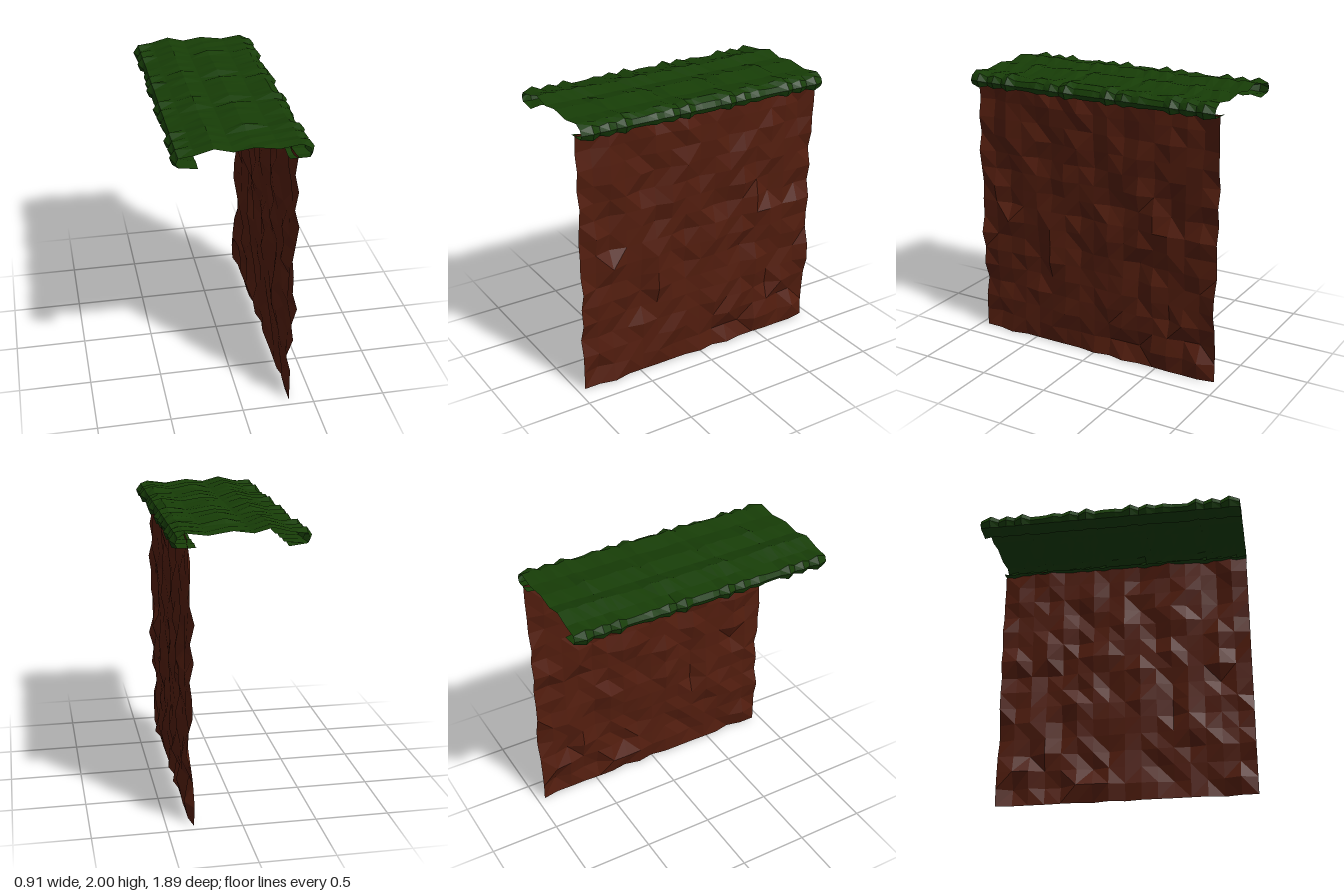
import * as THREE from 'three';

// Small seeded hash giving 0..1 for a pair of integers
function hash(a, b) {
  let h = Math.imul(a + 17, 374761393) ^ Math.imul(b + 59, 668265263);
  h = Math.imul(h ^ (h >>> 13), 1274126177);
  return ((h ^ (h >>> 16)) >>> 0) / 4294967296;
}

function makeMesh(name, geometry, color) {
  const flat = geometry.toNonIndexed();
  flat.computeVertexNormals();
  const material = new THREE.MeshStandardMaterial({ color, flatShading: true, side: THREE.DoubleSide });
  const mesh = new THREE.Mesh(flat, material);
  mesh.name = name;
  return mesh;
}

// Rough earth sheet: mostly even, with scattered bumps and dents
function createWall() {
  const columns = 16, rows = 15, size = 1.89;
  const geometry = new THREE.PlaneGeometry(size, size, columns, rows);
  geometry.rotateY(Math.PI / 2);
  const pos = geometry.attributes.position;
  for (let i = 0; i < pos.count; i++) {
    const column = i % (columns + 1), row = Math.floor(i / (columns + 1));
    const noise = 2 * hash(column, row) - 1;
    const push = THREE.MathUtils.clamp(1.35 * noise ** 3, -1, 1);
    pos.setX(i, 0.336 + 0.031 * push);
    pos.setY(i, pos.getY(i) + size / 2);
  }
  // Turn the diagonal of about half the cells
  const indices = [];
  for (let row = 0; row < rows; row++) {
    for (let column = 0; column < columns; column++) {
      const a = row * (columns + 1) + column, b = a + columns + 1;
      if (hash(column + 40, row + 40) < 0.5) indices.push(a, b, a + 1, b, b + 1, a + 1);
      else indices.push(a, b, b + 1, a, b + 1, a + 1);
    }
  }
  geometry.setIndex(indices);
  return makeMesh('earthWall', geometry, 0x521d0e);
}

// Grass sheet: a curled cross-section blended between a low and a high shape
function createGrass() {
  // Each point: low x, low y, high x, high y
  const profile = [
    [-0.29, 1.867, -0.29, 1.88], [-0.41, 1.882, -0.435, 1.87],
    [-0.425, 1.91, -0.455, 1.92], [-0.41, 1.945, -0.42, 1.972],
    [-0.31, 1.95, -0.31, 1.966], [-0.19, 1.972, -0.19, 2.0],
    [-0.07, 1.952, -0.07, 1.962], [0.06, 1.942, 0.06, 2.0],
    [0.22, 1.945, 0.22, 1.962], [0.36, 1.955, 0.36, 1.985],
    [0.41, 1.945, 0.42, 1.968], [0.425, 1.91, 0.455, 1.92],
    [0.41, 1.882, 0.435, 1.87], [0.285, 1.88, 0.285, 1.867],
  ];
  // Slices for one half of the length: z and bulge, mirrored front to back
  const half = [
    [0.05, 0.25], [0.1, 0], [0.16, 1], [0.22, 0], [0.28, 0.75], [0.34, 0.1],
    [0.4, 0.5], [0.46, 0.1], [0.52, 0], [0.575, 0], [0.635, 1], [0.69, 0.05],
    [0.75, 0.75], [0.81, 0], [0.87, 1], [0.945, 0],
  ];
  const slices = [...half.map(([z, b]) => [-z, b]).reverse(), ...half];
  const geometry = new THREE.PlaneGeometry(1, 1, profile.length - 1, slices.length - 1);
  const pos = geometry.attributes.position;
  for (let i = 0; i < pos.count; i++) {
    const column = i % profile.length, row = Math.floor(i / profile.length);
    const [lowX, lowY, highX, highY] = profile[column];
    const [z, bulge] = slices[row];
    const mirrored = Math.min(row, slices.length - 1 - row);
    const onTop = column > 3 && column < 10;
    const blend = onTop ? 0.62 + 0.35 * bulge - 0.55 * hash(column, mirrored) ** 4 : bulge;
    pos.setXYZ(i,
      THREE.MathUtils.lerp(lowX, highX, blend),
      THREE.MathUtils.lerp(lowY, highY, blend), z);
  }
  return makeMesh('grassTop', geometry, 0x173d07);
}

export function createModel() {
  const model = new THREE.Group();
  model.name = 'grassyLedge';
  model.add(createWall(), createGrass());
  return model;
}
